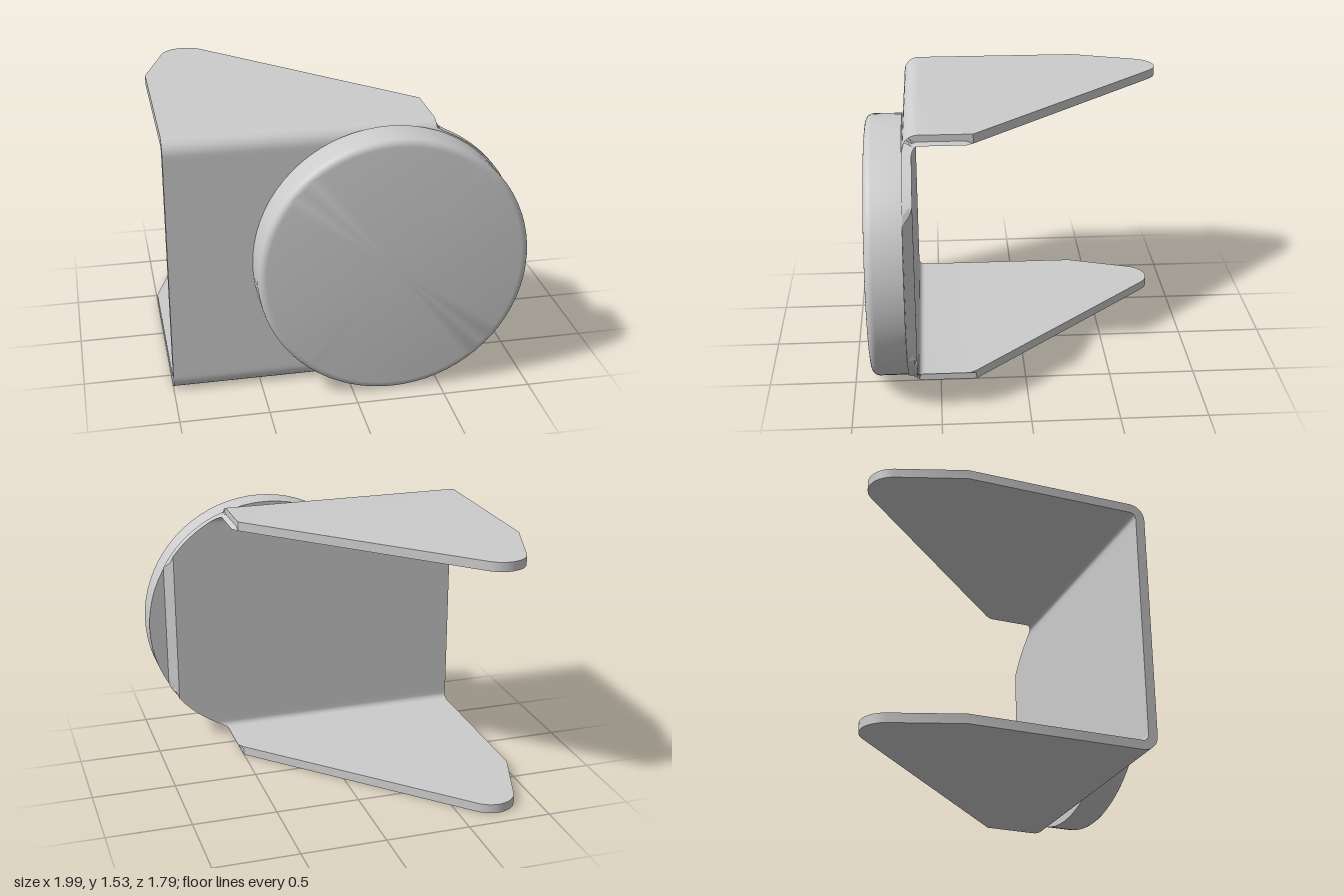
import * as THREE from 'three';
import { toCreasedNormals } from 'three/addons/utils/BufferGeometryUtils.js';

const H = 1.53, CY = H / 2, CX = 0.23;      // bracket height, disc centre
const FRONT = 0.685, T = 0.055, BEND = 0.09; // plate front, sheet thickness, outer bend radius
const PLATE_R = 0.77, DISC_R = 0.763;
const TIP = { x: -0.725, z: -0.745, r: 0.15 }; // rounded rear corner of a flange
const rad = THREE.MathUtils.degToRad;

// Sheet outline: left and right limits in x for a point of the bent sheet
const tipHalf = z => Math.sqrt(Math.max(0, TIP.r ** 2 - (z - TIP.z) ** 2));
function leftX(z) {
  if (z > -0.4) return -1;
  return z > -0.793 ? -1 + (-0.4 - z) * 0.338 : TIP.x - tipHalf(z);
}
function rightX(y, z) {
  const disc = CX + Math.sqrt(Math.max(0, PLATE_R ** 2 - (y - CY) ** 2));
  const diagonal = z > -0.85 ? 0.54 + (z - 0.33) / 1.02 : TIP.x + tipHalf(z);
  return Math.min(Math.max(0.5, disc), diagonal);
}

// Stations along the U section: outer point (y, z) and inward normal (ny, nz)
function sectionPath() {
  const lower = [];
  for (const a of [0, 4, 9, 18, 27, 36, 45.6, 58, 71.3])
    lower.push({ y: 0, z: TIP.z - TIP.r * Math.cos(rad(a)), ny: 1, nz: 0 });
  for (const z of [-0.4, 0.29, 0.33]) lower.push({ y: 0, z, ny: 1, nz: 0 });
  for (let i = 0; i <= 8; i++) {
    const c = Math.cos(i * Math.PI / 16), s = Math.sin(i * Math.PI / 16);
    lower.push({ y: BEND - BEND * c, z: FRONT - BEND + BEND * s, ny: c, nz: -s });
  }
  const web = [], n = 32, span = Math.asin((CY - BEND) / PLATE_R);
  for (let i = 1; i < n; i++)
    web.push({ y: CY + PLATE_R * Math.sin(span * (2 * i / n - 1)), z: FRONT, ny: 0, nz: -1 });
  const upper = lower.map(p => ({ ...p, y: H - p.y, ny: -p.ny })).reverse();
  return [...lower, ...web, ...upper];
}

// Bent sheet: front plate and both flanges in one piece
function bracketGeometry() {
  const layers = [0, 0.71, 1], last = layers.length - 1, pos = [];
  const grid = sectionPath().map(p => layers.map(t => {
    const y = p.y + p.ny * T * t, z = p.z + p.nz * T * t;
    return { l: [leftX(z), y, z], r: [rightX(y, z), y, z] };
  }));
  const quad = (a, b, c, d) => pos.push(...a, ...b, ...c, ...a, ...c, ...d);
  for (let i = 0; i < grid.length - 1; i++) {
    const p = grid[i], q = grid[i + 1];
    quad(p[0].l, p[0].r, q[0].r, q[0].l);                 // outside
    quad(p[last].r, p[last].l, q[last].l, q[last].r);     // inside
    for (let j = 0; j < last; j++) {                      // cut edges
      quad(p[j].r, p[j + 1].r, q[j + 1].r, q[j].r);
      quad(p[j + 1].l, p[j].l, q[j].l, q[j + 1].l);
    }
  }
  const g = new THREE.BufferGeometry();
  g.setAttribute('position', new THREE.Float32BufferAttribute(pos, 3));
  return toCreasedNormals(g, 0.4);
}

// Round pad with a rounded front rim
function discGeometry() {
  const depth = 0.21, f = 0.045;
  const profile = [new THREE.Vector2(0, 0), new THREE.Vector2(DISC_R, 0)];
  for (let i = 0; i <= 6; i++) {
    const a = i * Math.PI / 12;
    profile.push(new THREE.Vector2(DISC_R - f + f * Math.cos(a), depth - f + f * Math.sin(a)));
  }
  profile.push(new THREE.Vector2(0, depth));
  const g = new THREE.LatheGeometry(profile, 72);
  g.rotateX(Math.PI / 2);
  return toCreasedNormals(g, 0.5);
}

export function createModel() {
  const group = new THREE.Group();
  group.name = 'discBracket';
  const material = new THREE.MeshStandardMaterial({ color: 0xcccccc });

  const bracket = new THREE.Mesh(bracketGeometry(), material);
  bracket.name = 'bracket';
  const disc = new THREE.Mesh(discGeometry(), material);
  disc.name = 'disc';
  disc.position.set(CX, CY, FRONT);

  group.add(bracket, disc);
  return group;
}
